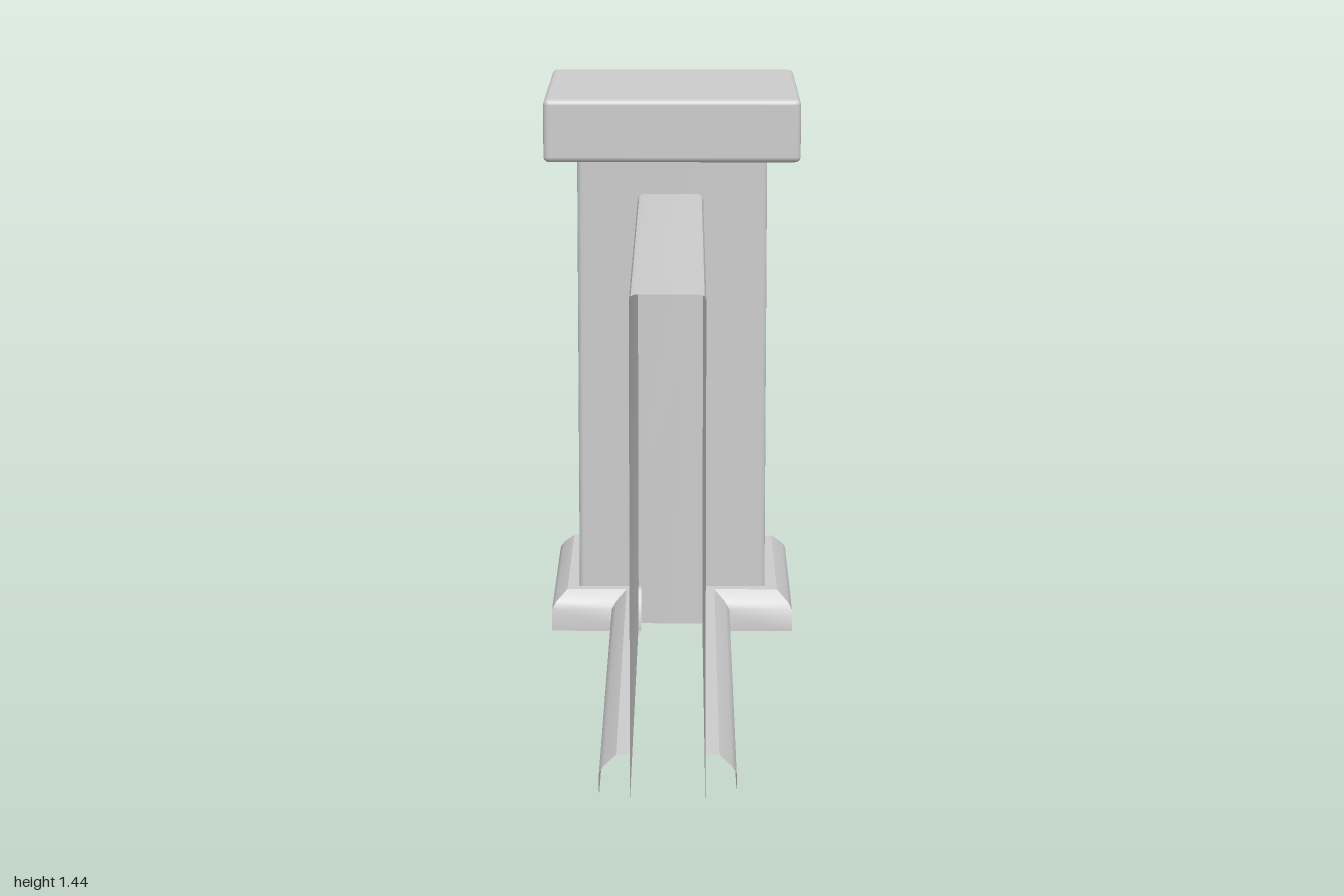
import * as THREE from 'three';
import { toCreasedNormals } from 'three/addons/utils/BufferGeometryUtils.js';
import { RoundedBoxGeometry } from 'three/addons/geometries/RoundedBoxGeometry.js';

const material = new THREE.MeshStandardMaterial({ color: 0xcccccc, side: THREE.DoubleSide });

// Open sheet spanned between rows of [x, y, z] points
function loft(rows, crease = 0.6) {
  const n = rows[0].length;
  const index = [];
  for (let i = 0; i < rows.length - 1; i++) {
    for (let j = 0; j < n - 1; j++) {
      const a = i * n + j, b = a + 1, c = a + n, d = c + 1;
      index.push(a, b, d, a, d, c);
    }
  }
  const geo = new THREE.BufferGeometry();
  geo.setAttribute('position', new THREE.Float32BufferAttribute(rows.flat(2), 3));
  geo.setIndex(index);
  return toCreasedNormals(geo, crease);
}

export function createModel() {
  const group = new THREE.Group();
  const add = (name, geo, x = 0, y = 0, z = 0) => {
    const mesh = new THREE.Mesh(geo, material);
    mesh.name = name;
    mesh.position.set(x, y, z);
    group.add(mesh);
  };

  const postZ = -0.665, half = 0.25, wallHalf = 0.086, wallX = -0.004;

  // Skirting profile: [distance out from the face, height]
  const skirting = [[0.072, 0], [0.072, 0.06], [0.061, 0.078], [0.032, 0.105], [0, 0.105]];

  // Post: hollow square shaft with slightly rounded edges, open underneath
  const r = 0.012, outline = [];
  [[1, 1], [-1, 1], [-1, -1], [1, -1]].forEach(([sx, sz], k) => {
    for (let i = 0; i <= 4; i++) {
      const a = Math.PI / 4 * (2 * k + i / 2);
      outline.push([sx * (half - r) + r * Math.cos(a), sz * (half - r) + r * Math.sin(a)]);
    }
  });
  outline.push(outline[0]);
  add('post', loft([1.28, 0].map(y => outline.map(([x, z]) => [x, y, z]))), 0, 0, postZ);

  // Cap slab
  add('postCap', new RoundedBoxGeometry(0.67, 0.165, 0.67, 3, 0.015), 0, 1.3525, postZ);

  // Mitred skirting round the post, interrupted where the wall joins
  add('postSkirting', loft(skirting.map(([o, y]) => {
    const h = half + o;
    return [[-0.082, y, h], [-h, y, h], [-h, y, -h], [h, y, -h], [h, y, h], [0.082, y, h]];
  })), 0, 0, postZ);

  // Wall: hollow sheet with softened top edges, running into the post
  const profile = [[wallHalf, 0], [wallHalf, 1.16], [wallHalf - 0.004, 1.171], [wallHalf - 0.015, 1.175]];
  const section = [...profile, ...profile.slice().reverse().map(([x, y]) => [-x, y])];
  add('wall', loft(section.map(([x, y]) => [[x, y, postZ], [x, y, 1]])), wallX);

  // Skirting along both sides of the wall
  for (const s of [1, -1]) {
    const ends = s > 0 ? [-0.4, 1] : [1, -0.4];
    add(s > 0 ? 'leftWallSkirting' : 'rightWallSkirting',
      loft(skirting.map(([o, y]) => ends.map(z => [s * (wallHalf + o), y, z]))), wallX);
  }
  return group;
}
